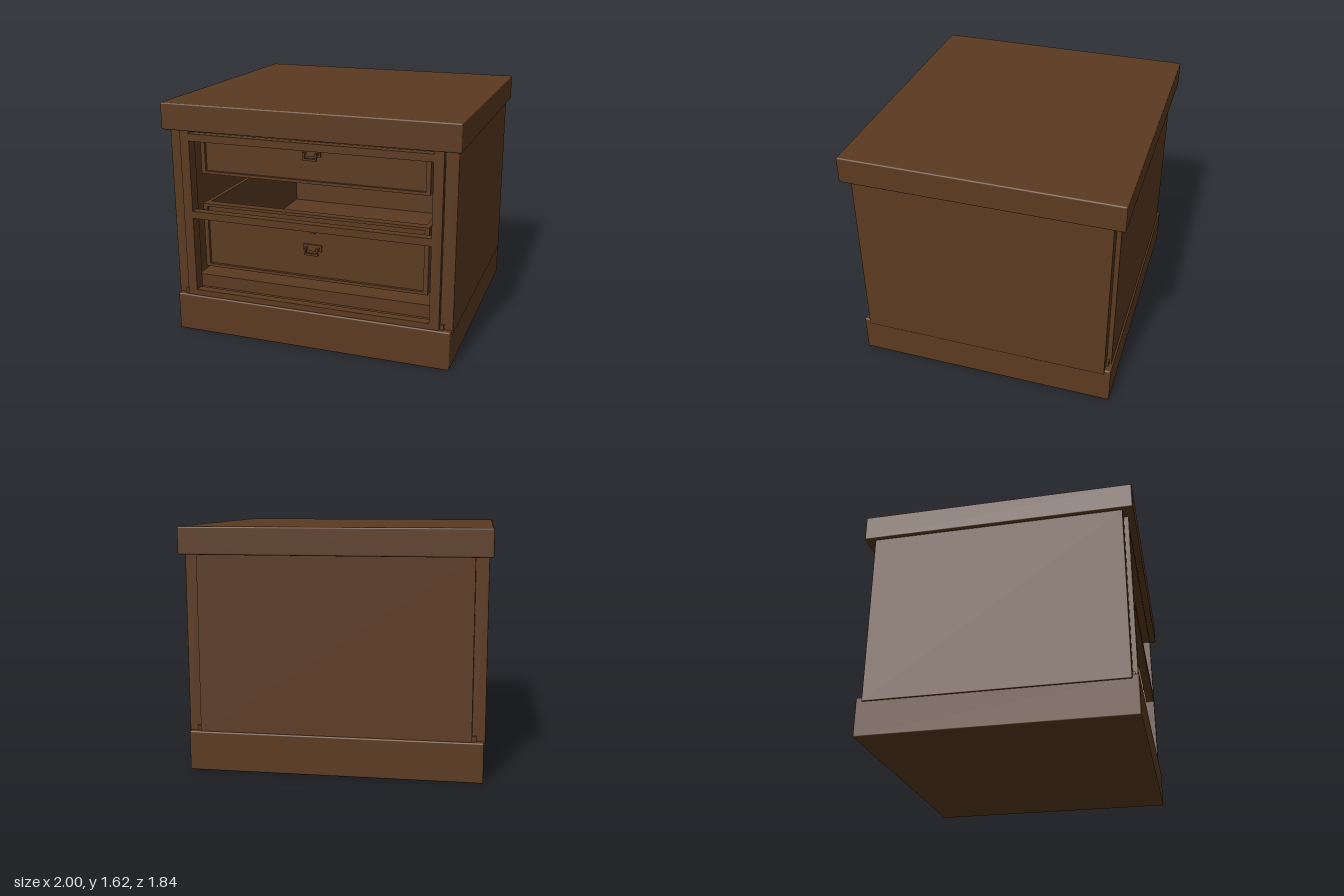
import * as THREE from 'three';
import { RoundedBoxGeometry } from 'three/addons/geometries/RoundedBoxGeometry.js';

const wood = new THREE.MeshStandardMaterial({ color: 0x5b3a20 });
wood.name = 'dark wood';

// Box given by its low and high corner
function block(parent, name, [x0, y0, z0], [x1, y1, z1], round = 0) {
  const size = [x1 - x0, y1 - y0, z1 - z0];
  const geo = round ? new RoundedBoxGeometry(...size, 2, round) : new THREE.BoxGeometry(...size);
  const mesh = new THREE.Mesh(geo, wood);
  mesh.name = name;
  mesh.position.set((x0 + x1) / 2, (y0 + y1) / 2, (z0 + z1) / 2);
  parent.add(mesh);
  return mesh;
}

// Back plate, two posts and a hanging bail; y is the top edge
function addHandle(parent, y, z) {
  const handle = new THREE.Group();
  handle.name = 'handle';
  block(handle, 'handlePlate', [-0.063, y - 0.045, z], [0.063, y, z + 0.012]);
  for (const s of [-1, 1]) {
    block(handle, 'handlePost', [s * 0.042 - 0.008, y - 0.033, z + 0.01], [s * 0.042 + 0.008, y - 0.017, z + 0.04]);
    block(handle, 'handleArm', [s * 0.042 - 0.005, y - 0.065, z + 0.028], [s * 0.042 + 0.005, y - 0.017, z + 0.04]);
  }
  block(handle, 'handleGrip', [-0.047, y - 0.066, z + 0.026], [0.047, y - 0.052, z + 0.042]);
  parent.add(handle);
}

// Open drawer box with a moulded rim round its front panel
function addDrawer(parent, name, y0, y1, handleTop, lockTop) {
  const drawer = new THREE.Group();
  drawer.name = name;
  const face = 0.77, rim = 0.79, back = -0.8;
  block(drawer, 'drawerPanel', [-0.77, y0 + 0.01, face - 0.04], [0.77, y1, face]);
  block(drawer, 'rimBottom', [-0.79, y0, face - 0.04], [0.79, y0 + 0.02, rim]);
  block(drawer, 'rimTop', [-0.79, y1 - 0.02, face - 0.04], [0.79, y1, rim]);
  for (const s of [-1, 1]) {
    const [a, b] = [s * 0.76, s * 0.79].sort((p, q) => p - q);
    block(drawer, 'rimSide', [a, y0 + 0.02, face - 0.04], [b, y1 - 0.02, rim]);
    block(drawer, 'drawerSide', [a, y0, back], [b, y1, face - 0.04]);
  }
  block(drawer, 'drawerBack', [-0.76, y0, back], [0.76, y1, back + 0.03]);
  block(drawer, 'drawerFloor', [-0.76, y0, back + 0.03], [0.76, y0 + 0.025, face - 0.04]);
  addHandle(drawer, handleTop, face);
  block(drawer, 'keyholePlate', [-0.019, lockTop - 0.05, face], [0.019, lockTop, face + 0.008]);
  block(drawer, 'keyhole', [-0.004, lockTop - 0.033, face + 0.008], [0.004, lockTop - 0.015, face + 0.012]);
  parent.add(drawer);
}

export function createModel() {
  const model = new THREE.Group();
  model.name = 'drawerCabinet';

  // Plinth and top
  block(model, 'plinth', [-0.967, 0, -0.892], [0.967, 0.265, 0.892], 0.01);
  block(model, 'topSlab', [-1, 1.435, -0.92], [1, 1.615, 0.92], 0.01);

  // Carcass
  block(model, 'backPanel', [-0.89, 0.25, -0.88], [0.89, 1.44, -0.82]);
  block(model, 'cabinetFloor', [-0.89, 0.25, -0.82], [0.89, 0.355, 0.72]);
  for (const s of [-1, 1]) {
    const span = (p, q) => [Math.min(s * p, s * q), Math.max(s * p, s * q)];
    const [p0, p1] = span(0.89, 0.975);
    block(model, 'sidePanel', [p0, 0.235, -0.85], [p1, 1.44, 0.85], 0.006);
    const [f0, f1] = span(0.825, 0.89);
    block(model, 'frontStile', [f0, 0.25, 0.8], [f1, 1.44, 0.88]);
    // Small blocks at the foot of each corner
    const [c0, c1] = span(0.885, 0.918);
    block(model, 'frontCornerBlock', [c0, 0.25, 0.83], [c1, 0.3, 0.866]);
    block(model, 'backCornerBlock', [c0, 0.25, -0.866], [c1, 0.3, -0.83]);
  }

  // Front rails
  for (const [y0, y1] of [[0.25, 0.305], [0.825, 0.875], [1.36, 1.41]]) {
    block(model, 'frontRail', [-0.825, y0, 0.82], [0.825, y1, 0.88]);
  }

  addDrawer(model, 'lowerDrawer', 0.455, 0.91, 0.7, 0.825);
  addDrawer(model, 'upperDrawer', 1.12, 1.44, 1.345, 1.435);
  return model;
}
